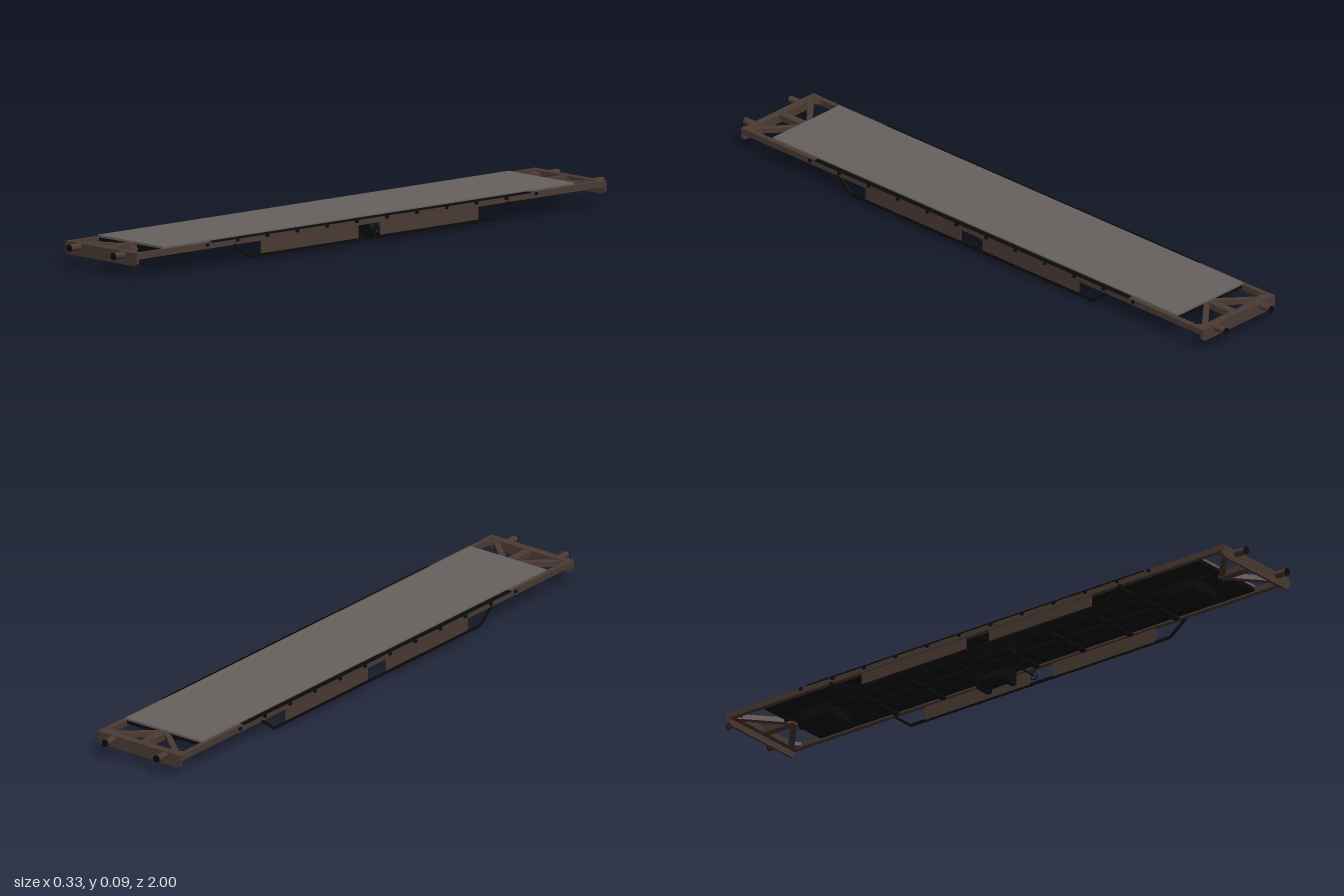
import * as THREE from 'three';

export function createModel() {
  const model = new THREE.Group();
  const mat = (name, color) => {
    const m = new THREE.MeshStandardMaterial({ color });
    m.name = name;
    return m;
  };
  const brown = mat('frame brown', 0x4b3a33);
  const grey = mat('deck grey', 0x67625e);
  const black = mat('underframe black', 0x0b0b0b);

  const add = (name, geo, material, x = 0, y = 0, z = 0) => {
    const mesh = new THREE.Mesh(geo, material);
    mesh.name = name;
    mesh.position.set(x, y, z);
    model.add(mesh);
    return mesh;
  };
  // box given by its limits on each axis
  const box = (name, material, x0, x1, y0, y1, z0, z1) =>
    add(name, new THREE.BoxGeometry(x1 - x0, y1 - y0, z1 - z0), material,
      (x0 + x1) / 2, (y0 + y1) / 2, (z0 + z1) / 2);
  // flat bar between two points, w across and h deep
  const bar = (name, material, a, b, w, h) => {
    const p = new THREE.Vector3(...a), q = new THREE.Vector3(...b);
    const mesh = add(name, new THREE.BoxGeometry(w, h, p.distanceTo(q)), material);
    mesh.position.copy(p).add(q).multiplyScalar(0.5);
    mesh.lookAt(q);
    return mesh;
  };
  // cylinder lying along z
  const rod = (name, material, r, x, y, z0, z1, sides = 20) =>
    add(name, new THREE.CylinderGeometry(r, r, z1 - z0, sides).rotateX(Math.PI / 2),
      material, x, y, (z0 + z1) / 2);

  // deck and floor
  box('deck', grey, -0.145, 0.145, 0.078, 0.085, -0.838, 0.838);
  box('floorUnderside', black, -0.145, 0.145, 0.066, 0.078, -0.836, 0.836);

  // end beam outline with chamfered lower corners
  const endShape = new THREE.Shape([
    [-0.158, 0.079], [-0.158, 0.047], [-0.147, 0.039],
    [0.147, 0.039], [0.158, 0.047], [0.158, 0.079],
  ].map(p => new THREE.Vector2(...p)));

  for (const e of [-1, 1]) {
    const span = (a, b) => [Math.min(e * a, e * b), Math.max(e * a, e * b)];
    // end beam: deep front plate with a shallow flange behind it
    add('endBeam', new THREE.ExtrudeGeometry(endShape, { depth: 0.008, bevelEnabled: false }),
      brown, 0, 0, e > 0 ? 0.949 : -0.957);
    box('endBeamFlange', brown, -0.158, 0.158, 0.06, 0.079, ...span(0.932, 0.95));
    box('endCentreBeam', brown, -0.013, 0.013, 0.058, 0.078, ...span(0.82, 0.94));

    for (const s of [-1, 1]) {
      bar('diagonalBrace', brown, [s * 0.008, 0.068, e * 0.832],
        [s * 0.128, 0.068, e * 0.938], 0.018, 0.016);
      bar('cornerGusset', brown, [s * 0.146, 0.07, e * 0.915],
        [s * 0.12, 0.07, e * 0.938], 0.016, 0.012);
      // buffers
      rod('bufferStem', brown, 0.011, s * 0.098, 0.068, ...span(0.955, 0.997));
      rod('bufferFace', black, 0.0112, s * 0.098, 0.068, ...span(0.996, 1));
    }
    // bogie pivot block
    box('pivotBlock', black, -0.055, 0.055, 0.031, 0.067, ...span(0.65, 0.76));
  }

  for (const s of [-1, 1]) {
    const side = (name, m, a, b, y0, y1, z0, z1) =>
      box(name, m, Math.min(s * a, s * b), Math.max(s * a, s * b), y0, y1, z0, z1);
    // side sill with a dark load rail on its top
    side('sideSill', brown, 0.141, 0.157, 0.06, 0.079, -0.935, 0.935);
    side('sideRail', black, 0.145, 0.159, 0.077, 0.081, -0.65, 0.65);
    // lashing brackets
    for (let i = 0; i < 12; i++) {
      const z = -0.67 + i * 0.1218;
      side('lashingBracket', black, 0.156, 0.163, 0.069, 0.077, z - 0.005, z + 0.005);
    }
    // hanging side panels
    side('sidePanel', brown, 0.15, 0.154, 0.016, 0.062, 0.05, 0.445);
    side('sidePanel', brown, 0.15, 0.154, 0.016, 0.062, -0.44, -0.04);
    // truss rod
    const x = s * 0.155;
    const pts = [[x, 0.062, 0.56], [x, 0.0165, 0.5], [x, 0.0165, -0.5], [x, 0.062, -0.56]];
    for (let i = 0; i < 3; i++) bar('trussRod', black, pts[i], pts[i + 1], 0.006, 0.008);
    // inner longitudinal beams
    side('innerBeam', black, 0.03, 0.042, 0.057, 0.068, -0.83, 0.83);
    rod('brakePipe', black, 0.003, s * 0.08, 0.05, -0.74, 0.74, 8);
  }

  // cross beams below the floor
  for (let i = -3; i <= 3; i++) {
    const z = i * 0.18;
    box('crossBeam', black, -0.142, 0.142, 0.056, 0.067, z - 0.008, z + 0.008);
  }

  // air tank in its strap frames
  rod('airTank', black, 0.025, 0.077, 0.0275, -0.165, -0.05, 28);
  for (const z of [-0.155, -0.06]) {
    for (const x of [0.0475, 0.1065])
      box('tankStrap', black, x - 0.0015, x + 0.0015, 0.005, 0.068, z - 0.006, z + 0.006);
    box('tankStrap', black, 0.051, 0.103, 0, 0.003, z - 0.006, z + 0.006);
    for (const [a, b] of [[0.0475, 0.052], [0.1065, 0.102]])
      bar('tankStrapCorner', black, [a, 0.006, z], [b, 0.0015, z], 0.012, 0.003);
  }

  // brake cylinder and hand wheel
  rod('brakeCylinder', black, 0.011, -0.037, 0.039, -0.08, 0.05);
  const wheel = add('handWheel', new THREE.TorusGeometry(0.013, 0.002, 8, 20), black, 0.15, 0.04, -0.02);
  wheel.rotation.y = Math.PI / 2;
  bar('handWheelShaft', black, [0.05, 0.04, -0.02], [0.15, 0.04, -0.02], 0.004, 0.004);

  return model;
}
